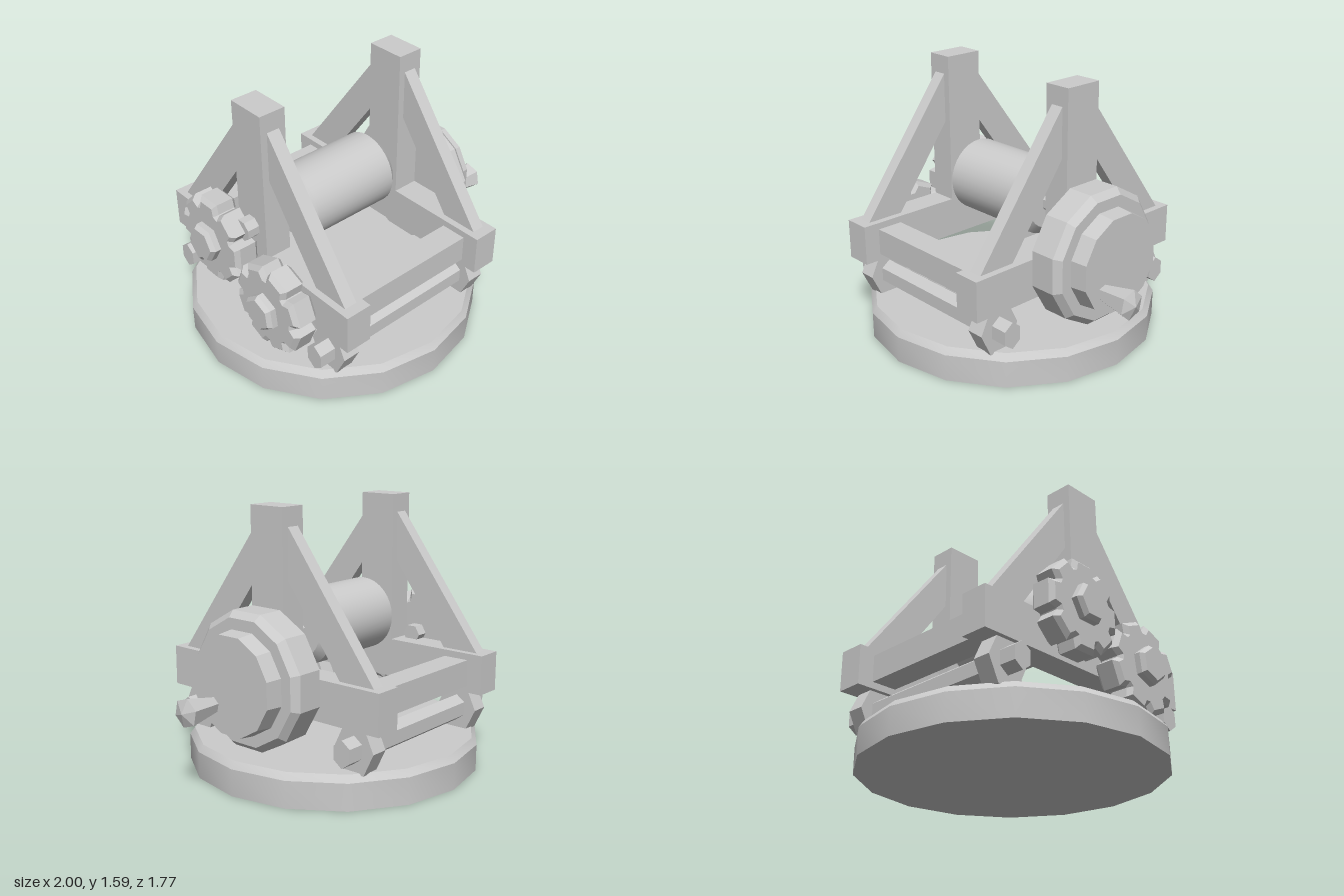
import * as THREE from 'three';
import { toCreasedNormals } from 'three/addons/utils/BufferGeometryUtils.js';

const flat = new THREE.MeshStandardMaterial({ color: 0xcccccc, flatShading: true });
const smooth = new THREE.MeshStandardMaterial({ color: 0xcccccc });

export function createModel() {
  const model = new THREE.Group();
  model.name = 'winch';

  const add = (name, geometry, x, y, z, parent = model, material = flat) => {
    const mesh = new THREE.Mesh(geometry, material);
    mesh.name = name;
    mesh.position.set(x, y, z);
    parent.add(mesh);
    return mesh;
  };
  const box = (name, w, h, d, x, y, z, parent) =>
    add(name, new THREE.BoxGeometry(w, h, d), x, y, z, parent);

  // Closed solid of revolution; profile is [radius, height] from bottom to top
  const turned = (profile, sides, start = 0) => {
    const points = profile.map(([r, h]) => new THREE.Vector2(r, h));
    points.unshift(new THREE.Vector2(0, profile[0][1]));
    if (profile.at(-1)[0] > 0) points.push(new THREE.Vector2(0, profile.at(-1)[1]));
    return new THREE.LatheGeometry(points, sides, start);
  };
  // The same, lying along x
  const turnedX = (...args) => turned(...args).rotateZ(-Math.PI / 2);

  // Round base
  add('base', toCreasedNormals(turned([[0.885, 0], [0.885, 0.16], [0.855, 0.2]], 16), 0.5),
    -0.115, 0, 0, model, smooth);

  // Two upright side frames with sloping braces
  const braceShape = new THREE.Shape([[0.11, 1.493], [0.11, 1.195], [0.51, 0.65], [0.743, 0.65]]
    .map(([z, y]) => new THREE.Vector2(z, y)));
  const braceGeometry = new THREE.ExtrudeGeometry(braceShape, { depth: 0.08, bevelEnabled: false })
    .translate(0, 0, -0.04).rotateY(-Math.PI / 2);
  for (const x of [-0.613, 0.383]) {
    const frame = new THREE.Group();
    frame.name = 'sideFrame';
    frame.position.x = x;
    model.add(frame);
    box('sill', 0.163, 0.24, 1.57, 0, 0.56, 0, frame);
    box('post', 0.163, 1.1, 0.24, 0, 1.04, 0, frame);
    for (const turn of [0, Math.PI]) add('brace', braceGeometry, 0, 0, 0, frame).rotation.y = turn;
  }

  // Cross beams, wheel axles and hexagonal wheels, front and back
  const axleGeometry = turnedX([[0.08, -0.655], [0.08, 0.655]], 6, Math.PI / 6).scale(1, 1, 0.79);
  const wheelGeometry = turnedX([[0.132, -0.053], [0.132, 0.053]], 6).scale(1, 1.2, 1);
  for (const side of [-1, 1]) {
    box('crossBeam', 0.86, 0.16, 0.16, -0.115, 0.56, side * 0.605);
    add('axle', axleGeometry, -0.115, 0.325, side * 0.6);
    for (const x of [-0.615, 0.383]) add('wheel', wheelGeometry, x, 0.325, side * 0.6);
  }

  // Winding drum on its shaft
  const drum = turnedX([[0.17, -0.335], [0.22, -0.285], [0.22, 0.285], [0.17, 0.335]], 32);
  add('drum', toCreasedNormals(drum, 0.5), -0.115, 0.86, 0, model, smooth);
  add('drumShaft', turnedX([[0.065, -0.63], [0.065, 0.63]], 8, Math.PI / 8), -0.14, 0.85, 0);

  // Crank disc with raised hub and flared knob
  add('crankDisc', turnedX([[0.405, 0], [0.405, 0.155], [0.368, 0.195]], 12, Math.PI / 12),
    0.475, 0.635, 0);
  add('crankHub', turnedX([[0.303, 0], [0.29, 0.12]], 12, Math.PI / 12), 0.65, 0.635, 0);
  add('crankKnob', turnedX([[0.045, 0], [0.087, 0.215], [0, 0.245]], 6, Math.PI / 10),
    0.755, 0.505, 0.135);

  // Meshing pair of eight-toothed gears with hexagonal hubs
  const bevel = 0.025;
  const outline = [];
  for (let i = 0; i < 8; i++) {
    for (const [r, offset] of [[0.2, -0.31], [0.245, -0.21], [0.245, 0.21], [0.2, 0.31]]) {
      const a = i * Math.PI / 4 + offset;
      outline.push(new THREE.Vector2(r * Math.cos(a), r * Math.sin(a)));
    }
  }
  const gearGeometry = new THREE.ExtrudeGeometry(new THREE.Shape(outline), {
    depth: 0.105, bevelThickness: bevel, bevelSize: bevel, bevelSegments: 1,
  }).translate(0, 0, -0.0525).rotateY(-Math.PI / 2);
  const hubGeometry = turnedX([[0.095, -0.035], [0.115, -0.01], [0.115, 0.04]], 6);
  for (const [y, z, turn] of [[0.71, -0.205, 0], [0.515, 0.295, Math.PI / 8]]) {
    const gear = new THREE.Group();
    gear.name = 'gear';
    gear.position.set(-0.778, y, z);
    gear.rotation.x = turn;
    model.add(gear);
    add('gearWheel', gearGeometry, 0, 0, 0, gear);
    add('gearHub', hubGeometry, -0.102, 0, 0, gear);
    add('gearShaft', turnedX([[0.06, 0], [0.06, 0.12]], 6), 0.03, 0, 0, gear);
  }
  return model;
}
